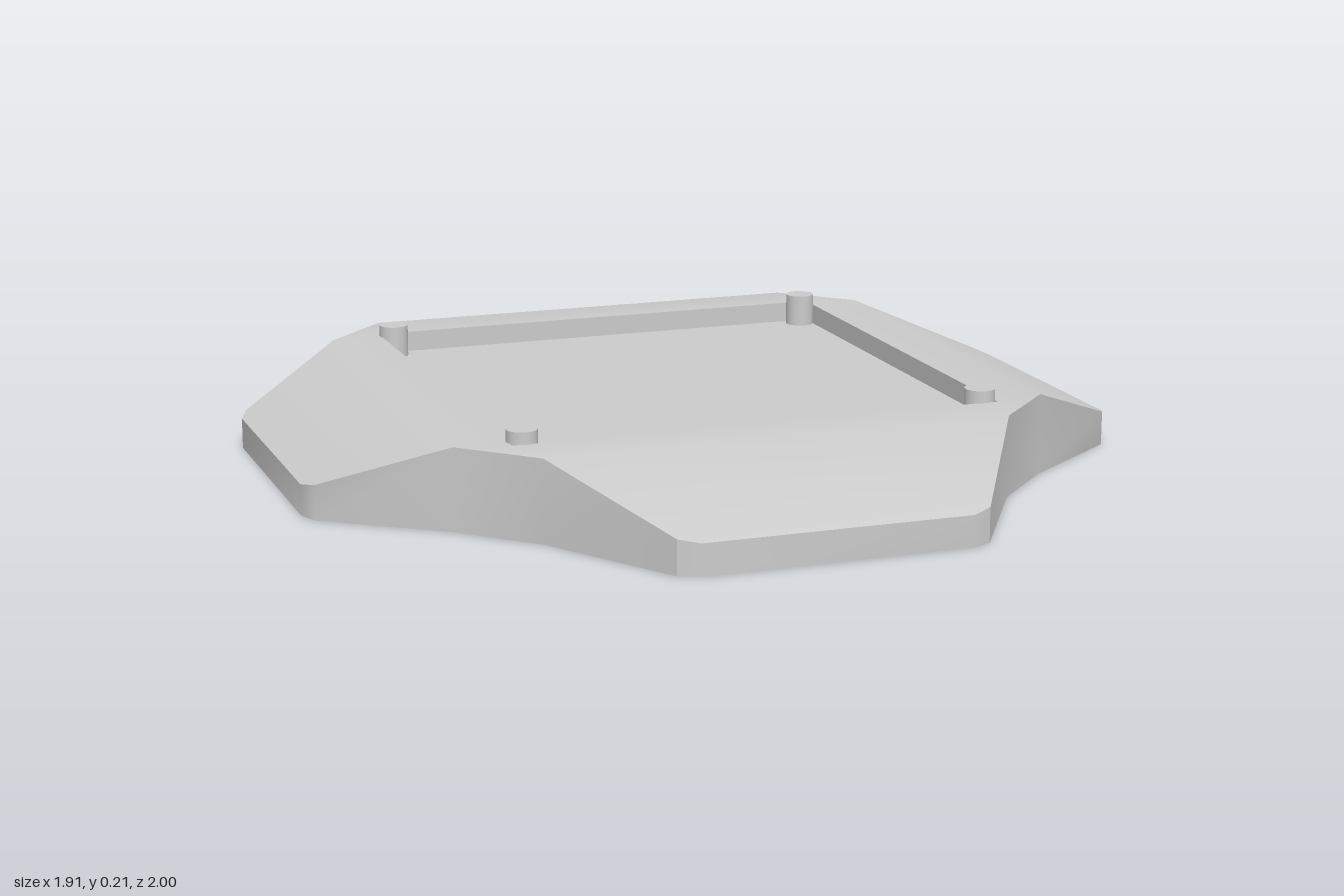
import * as THREE from 'three';
import { mergeGeometries, toCreasedNormals } from 'three/addons/utils/BufferGeometryUtils.js';

const TOP = 0.185, RIM = 0.07, FLOOR = 0.137;
const FX = 0.68, FZ = 0.68, EX = 0.955, EZ = 1; // fold lines and arm ends
const CREASE = 0.55;

const material = new THREE.MeshStandardMaterial({ color: 0xcccccc, side: THREE.DoubleSide });

// Height of the skin: flat in the middle, sloping down along each arm
function height(x, z) {
  const slope = (v, fold, end) => Math.max(0, (Math.abs(v) - fold) / (end - fold));
  return TOP - (TOP - RIM) * Math.max(slope(x, FX, EX), slope(z, FZ, EZ));
}

// Flat patch facing up, corners given as [x, z], draped over the height rule
function patch(corners, hole, level) {
  const toV = ([x, z]) => new THREE.Vector2(x, -z);
  const shape = new THREE.Shape(corners.map(toV));
  if (hole) shape.holes.push(new THREE.Path(hole.map(toV)));
  const g = new THREE.ShapeGeometry(shape).rotateX(-Math.PI / 2);
  const p = g.attributes.position;
  for (let i = 0; i < p.count; i++) p.setY(i, level ?? height(p.getX(i), p.getZ(i)));
  return g.toNonIndexed();
}

// Upright band along a closed outline, from y = low to y = high(x, z)
function band(outline, low, high) {
  const pos = [];
  outline.forEach(([x, z], i) => {
    const [u, w] = outline[(i + 1) % outline.length];
    const a = [x, low, z], b = [u, low, w], c = [u, high(u, w), w], d = [x, high(x, z), z];
    pos.push(...a, ...b, ...c, ...a, ...c, ...d);
  });
  const g = new THREE.BufferGeometry();
  g.setAttribute('position', new THREE.Float32BufferAttribute(pos, 3));
  g.setAttribute('uv', new THREE.Float32BufferAttribute(new Array(pos.length / 3 * 2).fill(0), 2));
  g.computeVertexNormals();
  return g;
}

function addMesh(group, name, geometry) {
  const mesh = new THREE.Mesh(geometry, material);
  mesh.name = name;
  group.add(mesh);
  return mesh;
}

export function createModel() {
  const group = new THREE.Group();
  group.name = 'coverPlate';

  // Outline of one quarter, mirrored into a full counter-clockwise loop seen from above
  const q = [[0.3, EZ], [0.345, 0.98], [0.53, FZ], [FX, 0.53], [0.935, 0.345], [EX, 0.3]];
  const flip = (sx, sz, pts) => pts.map(([x, z]) => [x * sx, z * sz]);
  const back = [...q].reverse();
  const outline = [...q, ...flip(1, -1, back), ...flip(-1, -1, q), ...flip(-1, 1, back)];

  // Skin: flat centre with a square opening, plus four sloping arms
  const s = 0.56;
  const square = [[-s, s], [s, s], [s, -s], [-s, -s]];
  const folds = outline.filter(([x, z]) => height(x, z) > TOP - 1e-6);
  const parts = [patch(folds, square)];
  const frontArm = [...flip(-1, 1, q.slice(0, 3)).reverse(), ...q.slice(0, 3)];
  const sideArm = [...q.slice(3), ...flip(1, -1, q.slice(3)).reverse()];
  for (const m of [1, -1]) {
    parts.push(patch(flip(m, m, frontArm)), patch(flip(m, m, sideArm)));
  }
  addMesh(group, 'topSkin', toCreasedNormals(mergeGeometries(parts), CREASE));

  // Outer wall down to the ground, open underneath
  addMesh(group, 'outerWall', toCreasedNormals(band(outline, 0, height), CREASE));

  // Shallow square tray set into the opening
  const tray = mergeGeometries([patch(square, null, FLOOR), band([...square].reverse(), FLOOR, () => TOP)]);
  addMesh(group, 'recessedTray', tray);

  // Pins through the tray corners
  const pinTop = 0.212, pinBottom = 0.115;
  const pin = new THREE.CylinderGeometry(0.034, 0.034, pinTop - pinBottom, 24);
  for (const x of [-0.53, 0.53]) for (const z of [-0.53, 0.53]) {
    addMesh(group, 'cornerPin', pin).position.set(x, (pinTop + pinBottom) / 2, z);
  }
  return group;
}
